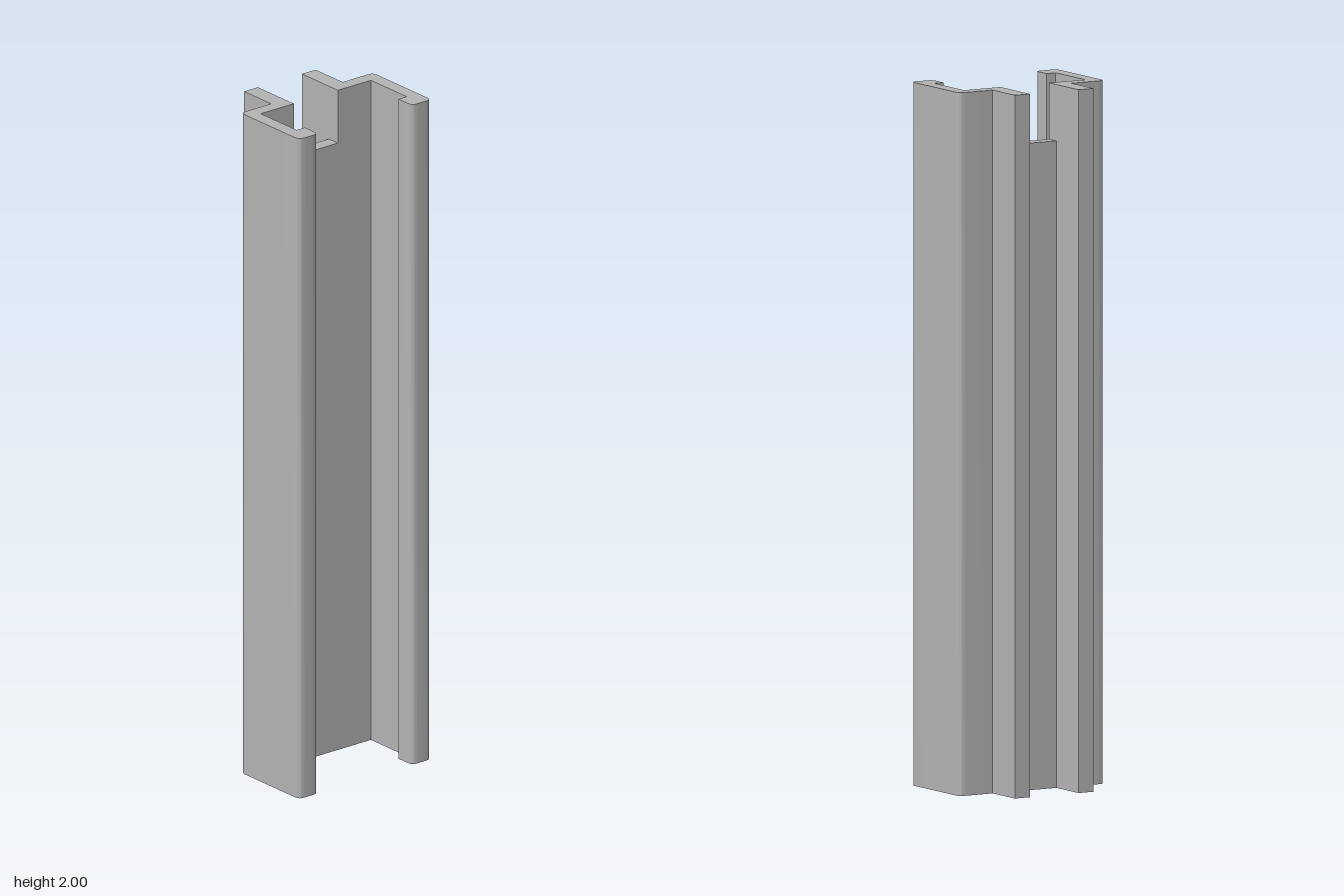
import * as THREE from 'three';
import { toCreasedNormals } from 'three/addons/utils/BufferGeometryUtils.js';

const HEIGHT = 2;
const NOTCH_DEPTH = 0.16;
const R = 0.022; // outer corner radius

// Cross-section of one side: web end, rear fin, side wall and inturned lip.
// Shape y is -z; s mirrors it across x.
function sideShape(s) {
  const shape = new THREE.Shape();
  const line = (x, z) => shape.lineTo(s * x, -z);
  const round = (cx, cz, x, z) => shape.quadraticCurveTo(s * cx, -cz, s * x, -z);
  // circular-arc corner made from two quadratic halves
  const corner = (x0, z0, cx, cz, x1, z1) => {
    line(x0, z0);
    const t = 0.586;
    const ax = x0 + (cx - x0) * t, az = z0 + (cz - z0) * t;
    const bx = x1 + (cx - x1) * t, bz = z1 + (cz - z1) * t;
    round(ax, az, (ax + bx) / 2, (az + bz) / 2);
    round(bx, bz, x1, z1);
  };
  shape.moveTo(s * 0.08, 0.03);
  line(0.08, -0.19);
  line(0.13, -0.19);
  line(0.13, -0.07);
  corner(0.24 - R, -0.07, 0.24, -0.07, 0.24, -0.07 + R);
  corner(0.24, 0.19 - R, 0.24, 0.19, 0.24 - R, 0.19);
  corner(0.17 + R, 0.19, 0.17, 0.19, 0.17, 0.19 - R);
  line(0.17, 0.13);
  line(0.20, 0.13);
  line(0.20, -0.03);
  shape.closePath();
  return shape;
}

export function createModel() {
  const group = new THREE.Group();
  group.name = 'channelProfile';
  const metal = new THREE.MeshStandardMaterial({ color: 0xb3b3b3 });
  metal.name = 'greyMetal';

  // Mirrored full-height side rails
  for (const [name, s] of [['leftRail', 1], ['rightRail', -1]]) {
    let geo = new THREE.ExtrudeGeometry(sideShape(s), {
      depth: HEIGHT, bevelEnabled: false, curveSegments: 4,
    });
    geo.rotateX(-Math.PI / 2);
    geo = toCreasedNormals(geo, 0.6);
    const rail = new THREE.Mesh(geo, metal);
    rail.name = name;
    group.add(rail);
  }

  // Web between the rails, cut short to leave the top notch
  const webHeight = HEIGHT - NOTCH_DEPTH;
  const web = new THREE.Mesh(new THREE.BoxGeometry(0.16, webHeight, 0.04), metal);
  web.name = 'web';
  web.position.set(0, webHeight / 2, -0.05);
  group.add(web);

  return group;
}
